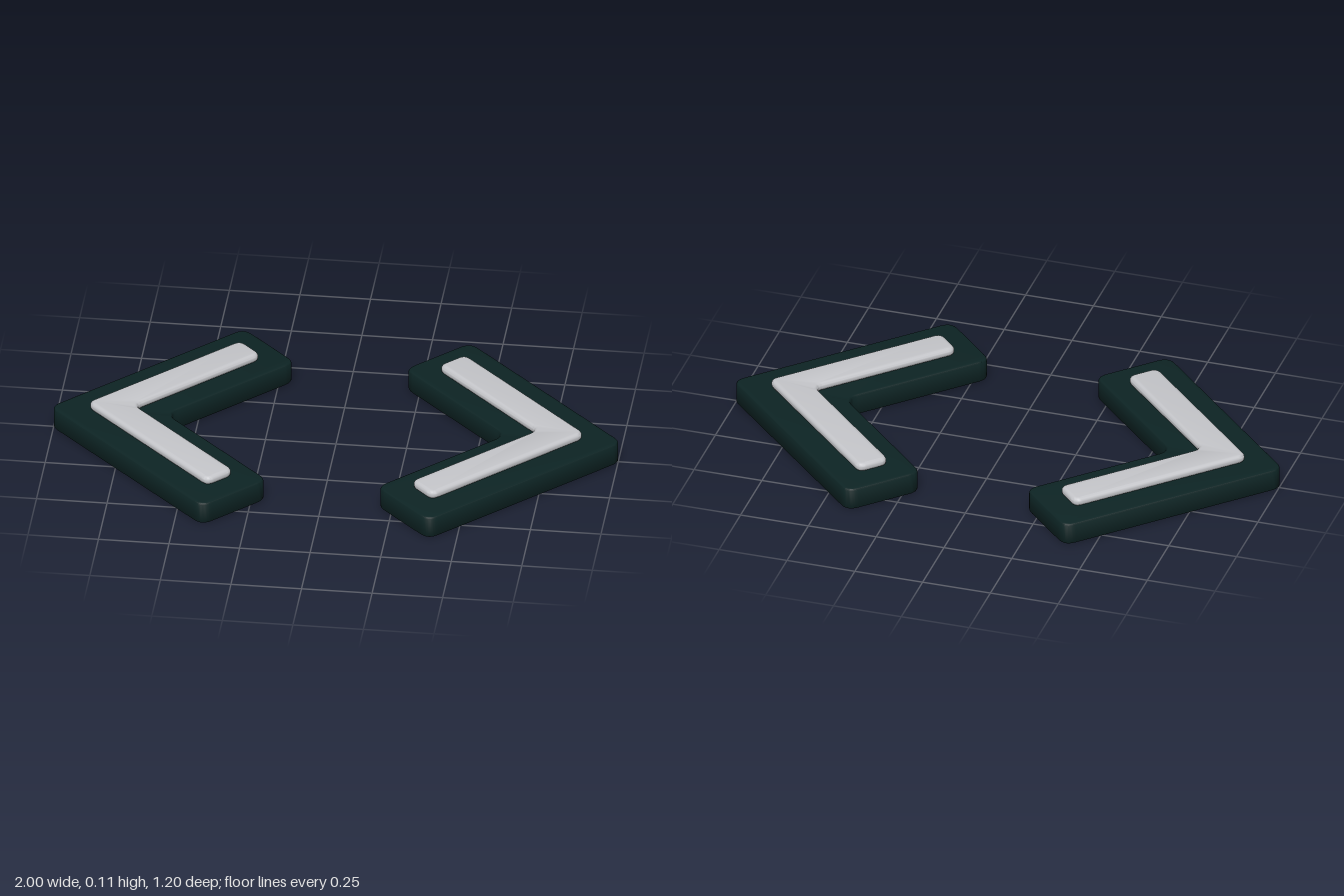
import * as THREE from 'three';
import { toCreasedNormals } from 'three/addons/utils/BufferGeometryUtils.js';

const darkGreen = new THREE.MeshStandardMaterial({ name: 'dark green', color: 0x0d2424 });
const paleGrey = new THREE.MeshStandardMaterial({ name: 'pale grey', color: 0xc6c7cb });

// Closed outline through the corners, each eased over distance d
function roundedOutline(corners, d) {
  const points = corners.map(([x, y]) => new THREE.Vector2(x, y));
  const shape = new THREE.Shape();
  points.forEach((p, i) => {
    const prev = points[(i + points.length - 1) % points.length];
    const next = points[(i + 1) % points.length];
    const a = p.clone().add(prev.clone().sub(p).setLength(d));
    const b = p.clone().add(next.clone().sub(p).setLength(d));
    if (i === 0) shape.moveTo(a.x, a.y);
    else shape.lineTo(a.x, a.y);
    shape.quadraticCurveTo(p.x, p.y, b.x, b.y);
  });
  shape.closePath();
  return shape;
}

// Right-angled chevron pointing to +x: outer and inner tips, and the arms' end line (y - x = end)
function chevron({ outer, inner, end, ease, bottom, top, bevel }) {
  const ox = (outer - end) / 2, oy = (outer + end) / 2;
  const ix = (inner - end) / 2, iy = (inner + end) / 2;
  const shape = roundedOutline(
    [[outer, 0], [ox, oy], [ix, iy], [inner, 0], [ix, -iy], [ox, -oy]], ease);
  const geometry = new THREE.ExtrudeGeometry(shape, {
    depth: top - bottom - 2 * bevel, curveSegments: 8,
    bevelEnabled: true, bevelThickness: bevel, bevelSize: bevel, bevelOffset: -bevel, bevelSegments: 4,
  });
  geometry.translate(0, 0, bottom + bevel);
  geometry.rotateX(-Math.PI / 2);
  return toCreasedNormals(geometry, 0.7);
}

export function createModel() {
  const model = new THREE.Group();
  model.name = 'chevronPair';

  const baseGeometry = chevron({
    outer: 1.0166, inner: 0.597, end: 0.215, ease: 0.047, bottom: 0, top: 0.082, bevel: 0.01,
  });
  const inlayGeometry = chevron({
    outer: 0.882, inner: 0.712, end: 0.085, ease: 0.032, bottom: 0.081, top: 0.113, bevel: 0.0145,
  });

  // Two chevrons pointing away from each other
  for (const [name, turn] of [['leftChevron', 0], ['rightChevron', Math.PI]]) {
    const group = new THREE.Group();
    group.name = name;
    const base = new THREE.Mesh(baseGeometry, darkGreen);
    base.name = 'base';
    const inlay = new THREE.Mesh(inlayGeometry, paleGrey);
    inlay.name = 'raisedStripe';
    group.add(base, inlay);
    group.rotation.y = turn;
    model.add(group);
  }
  return model;
}
